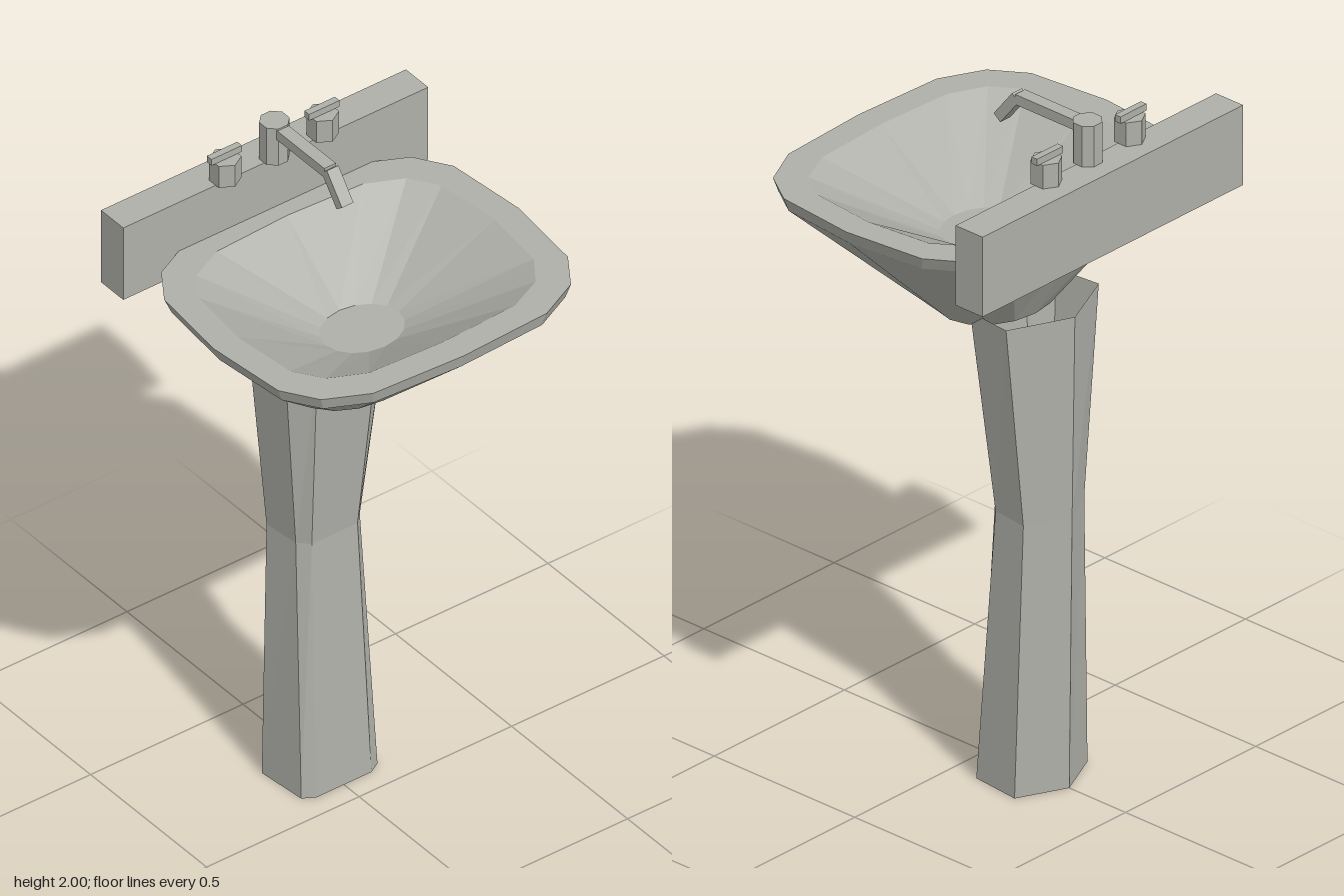
import * as THREE from 'three';

const ceramic = new THREE.MeshStandardMaterial({ color: 0xb0b0aa, side: THREE.DoubleSide });
ceramic.name = 'warm grey ceramic';

// Flat-shaded mesh from any geometry
function part(name, geometry, x = 0, y = 0, z = 0) {
  const g = geometry.index ? geometry.toNonIndexed() : geometry;
  g.computeVertexNormals();
  const mesh = new THREE.Mesh(g, ceramic);
  mesh.name = name;
  mesh.position.set(x, y, z);
  return mesh;
}

// Skin stacked rings of [x, y, z]; rings run from front (+z) towards +x
function loft(rings, capStart, capEnd) {
  const out = [];
  const n = rings[0].length;
  const tri = (a, b, c) => out.push(...a, ...b, ...c);
  for (let i = 0; i < rings.length - 1; i++) {
    for (let j = 0; j < n; j++) {
      const k = (j + 1) % n;
      tri(rings[i][j], rings[i][k], rings[i + 1][k]);
      tri(rings[i][j], rings[i + 1][k], rings[i + 1][j]);
    }
  }
  const first = rings[0], last = rings[rings.length - 1];
  for (let j = 1; j < n - 1; j++) {
    if (capStart) tri(first[0], first[j + 1], first[j]);
    if (capEnd) tri(last[0], last[j], last[j + 1]);
  }
  const g = new THREE.BufferGeometry();
  g.setAttribute('position', new THREE.Float32BufferAttribute(out, 3));
  return g;
}

// Sixteen-sided outlines: a soft square and a circle
const quarter = [[0, 1], [0.57, 0.965], [0.82, 0.82], [0.95, 0.585]];
const side = [[1, 0], [0.95, -0.585], [0.82, -0.82], [0.57, -0.965]];
const softSquare = [...quarter, ...side, ...[...quarter, ...side].map(([x, z]) => [-x, -z])];
const circle = softSquare.map((_, i) => [Math.sin(i * Math.PI / 8), Math.cos(i * Math.PI / 8)]);
const ring = (outline, rx, rz, y, cz) => outline.map(([x, z]) => [x * rx, y, cz + z * rz]);

function makeBowl() {
  return part('bowl', loft([
    ring(circle, 0.178, 0.14, 1.36, -0.04),
    ring(softSquare, 0.485, 0.405, 1.68, 0.035),
    ring(softSquare, 0.5, 0.42, 1.72, 0.03),
    ring(softSquare, 0.42, 0.34, 1.72, 0.03),
    ring(circle, 0.12, 0.098, 1.545, 0.013),
  ], true, true));
}

// Waisted pedestal with a ridge down the back and an open top
function makePedestal() {
  const section = (y, half, backZ) => [
    ...half.map(([x, z]) => [x, y, z]),
    [0, y, backZ],
    ...[...half].reverse().map(([x, z]) => [-x, y, z]),
  ];
  return part('pedestal', loft([
    section(0, [[0.09, -0.065], [0.125, -0.085], [0.14, -0.235]], -0.3),
    section(0.8, [[0.075, -0.105], [0.105, -0.135], [0.117, -0.245]], -0.31),
    section(1.4, [[0.1, -0.05], [0.165, -0.1], [0.178, -0.24]], -0.32),
  ], true, false));
}

function makeFaucet() {
  const faucet = new THREE.Group();
  faucet.name = 'faucet';
  const body = new THREE.CylinderGeometry(0.041, 0.041, 0.12, 8);
  body.rotateY(Math.PI / 8);
  faucet.add(part('faucetBody', body, 0, 1.94, -0.365));

  // Horizontal spout with a tip bent down towards the bowl
  faucet.add(part('spoutArm', new THREE.BoxGeometry(0.038, 0.03, 0.24), 0, 1.98, -0.245));
  const tip = part('spoutTip', new THREE.BoxGeometry(0.038, 0.03, 0.105), 0, 1.944, -0.093);
  tip.rotation.x = 0.9;
  faucet.add(tip);
  return faucet;
}

function makeHandle(x) {
  const handle = new THREE.Group();
  handle.name = x > 0 ? 'leftTapHandle' : 'rightTapHandle';
  handle.add(part('handleStem', new THREE.CylinderGeometry(0.043, 0.043, 0.07, 6), x, 1.915, -0.367));
  handle.add(part('handleBar', new THREE.BoxGeometry(0.1, 0.02, 0.02), x, 1.96, -0.37));
  return handle;
}

export function createModel() {
  const model = new THREE.Group();
  model.name = 'pedestalSink';
  model.add(makeBowl(), makePedestal(), makeFaucet());
  model.add(part('backsplash', new THREE.BoxGeometry(1, 0.236, 0.096), 0, 1.762, -0.407));
  for (const x of [-0.16, 0.16]) model.add(makeHandle(x));
  return model;
}
